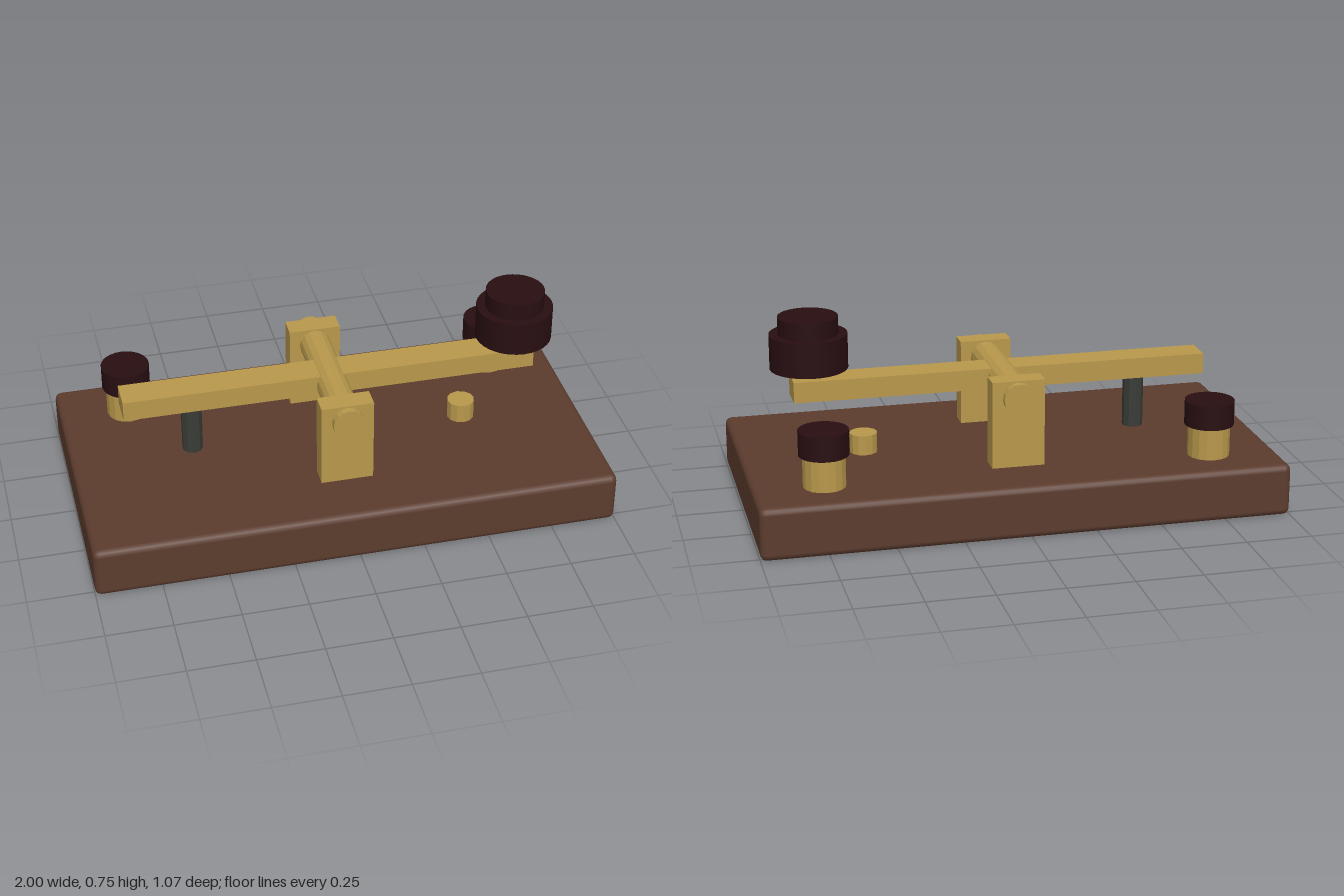
import * as THREE from 'three';
import { RoundedBoxGeometry } from 'three/addons/geometries/RoundedBoxGeometry.js';

const material = (name, color, flatShading = false) => {
  const m = new THREE.MeshStandardMaterial({ color, flatShading });
  m.name = name;
  return m;
};

export function createModel() {
  const group = new THREE.Group();
  const wood = material('walnut', 0x5c3c2e);
  const brass = material('brass', 0xb8984c, true);
  const bakelite = material('dark bakelite', 0x280e11);
  const steel = material('dark steel', 0x3a3c38, true);

  const add = (name, geometry, mat, x, y, z, parent = group) => {
    const mesh = new THREE.Mesh(geometry, mat);
    mesh.name = name;
    mesh.position.set(x, y, z);
    parent.add(mesh);
    return mesh;
  };
  // Upright cylinder given by its bottom and top heights
  const post = (name, r, y0, y1, sides, mat, x, z, parent) =>
    add(name, new THREE.CylinderGeometry(r, r, y1 - y0, sides), mat, x, (y0 + y1) / 2, z, parent);

  // Wooden base with softened edges
  add('base', new RoundedBoxGeometry(2, 0.2, 1.066, 2, 0.025), wood, 0, 0.1, 0);

  // Rocking lever on a cross axle
  add('lever', new THREE.BoxGeometry(1.6, 0.08, 0.12), brass, 0, 0.47, 0);
  const axle = add('axle', new THREE.CylinderGeometry(0.06, 0.06, 0.668, 16), brass, 0, 0.47, 0);
  axle.rotation.x = Math.PI / 2;

  // Axle supports and rear binding terminals
  for (const side of [-1, 1]) {
    add('axleSupport', new THREE.BoxGeometry(0.2, 0.335, 0.08), brass, 0, 0.3675, side * 0.268);
    const terminal = new THREE.Group();
    terminal.name = 'bindingTerminal';
    post('terminalPost', 0.08, 0.2, 0.322, 16, brass, side * 0.735, -0.335, terminal);
    post('terminalCap', 0.094, 0.322, 0.416, 24, bakelite, side * 0.735, -0.335, terminal);
    group.add(terminal);
  }

  // Stepped finger knob
  const knob = new THREE.Group();
  knob.name = 'fingerKnob';
  post('knobBody', 0.147, 0.549, 0.682, 32, bakelite, 0.732, 0, knob);
  post('knobTop', 0.113, 0.682, 0.749, 32, bakelite, 0.732, 0, knob);
  group.add(knob);

  // Contact stud under the knob and return spring under the tail
  post('contactStud', 0.053, 0.2, 0.276, 12, brass, 0.532, 0);
  post('returnSpring', 0.04, 0.224, 0.43, 10, steel, -0.535, 0);

  return group;
}
